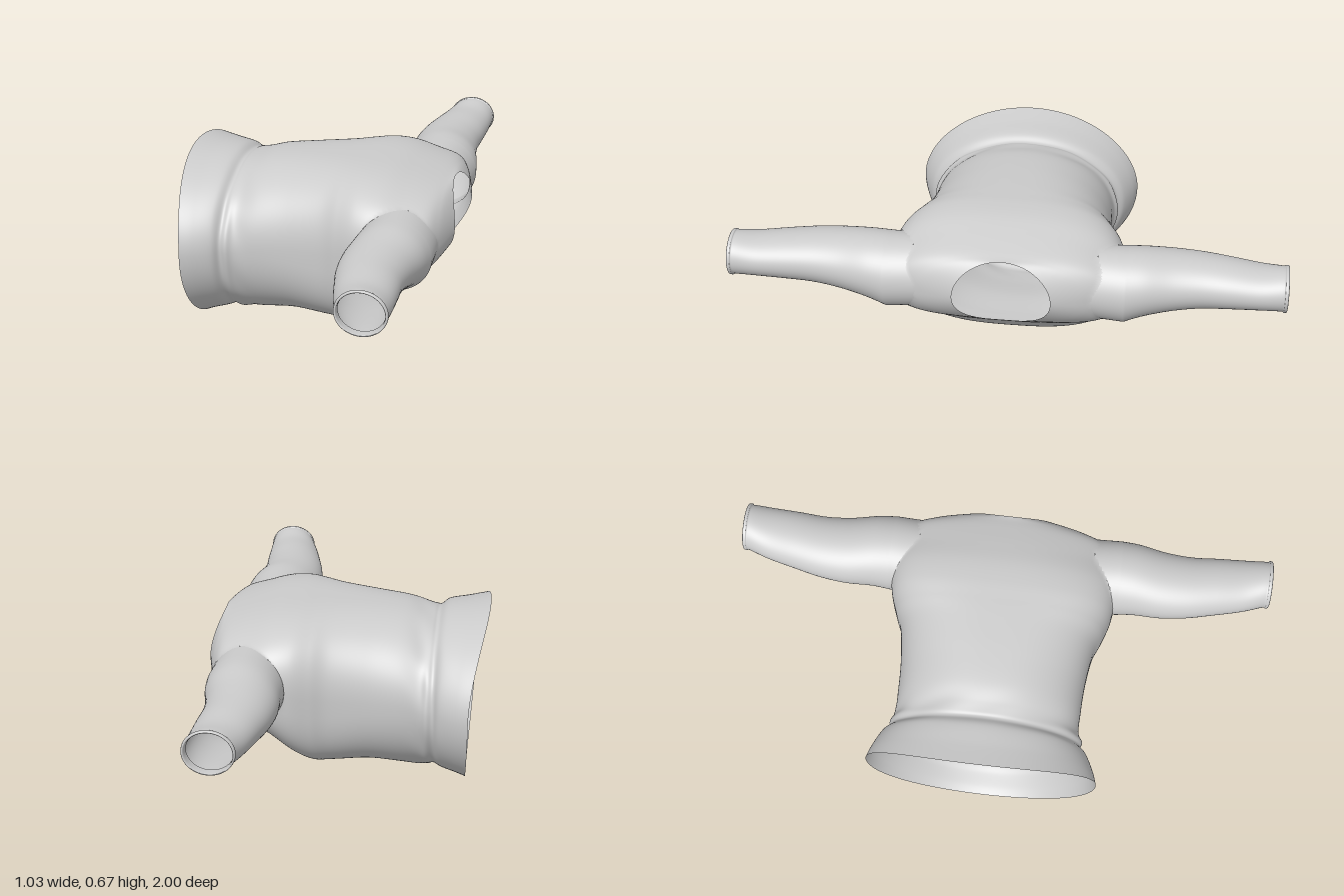
import * as THREE from 'three';

const material = new THREE.MeshStandardMaterial({ color: 0xcccccc, side: THREE.DoubleSide });
const AROUND = 128;

// Smoothly interpolates a list of number rows at t in 0..1
function sampleRows(rows, t) {
  const f = t * (rows.length - 1);
  const i = Math.min(Math.floor(f), rows.length - 2);
  const k = f - i;
  const at = (n) => rows[Math.max(0, Math.min(rows.length - 1, n))];
  return rows[i].map((b, c) => {
    const a = at(i - 1)[c], d = at(i + 1)[c], e = at(i + 2)[c];
    return b + 0.5 * k * (d - a + k * (2 * a - 5 * b + 4 * d - e + k * (3 * (b - d) + e - a)));
  });
}

// Joins closed rings of points into a surface, leaving out quads that skip() rejects
function loft(rings, flip, skip = () => false) {
  const n = rings[0].length;
  const index = [];
  for (let i = 0; i < rings.length - 1; i++) {
    for (let j = 0; j < n; j++) {
      const k = (j + 1) % n;
      if (skip([rings[i][j], rings[i][k], rings[i + 1][j], rings[i + 1][k]])) continue;
      const a = i * n + j, b = a + n, c = i * n + k, d = c + n;
      if (flip) index.push(a, c, b, c, d, b);
      else index.push(a, b, c, b, d, c);
    }
  }
  const geometry = new THREE.BufferGeometry().setFromPoints(rings.flat());
  geometry.setIndex(index);
  geometry.computeVertexNormals();
  return geometry;
}

// Torso rings from hem to neck:
// x at top, side, bottom; y top, bottom, widest; half width; squareness above, below
const torsoRows = [
  [-0.515, -0.455, -0.44, 0.667, 0, 0.36, 0.43, 2, 2],
  [-0.44, -0.41, -0.41, 0.652, 0.012, 0.36, 0.415, 2, 2],
  [-0.36, -0.35, -0.36, 0.64, 0.025, 0.36, 0.385, 2, 2],
  [-0.325, -0.325, -0.325, 0.62, 0.036, 0.36, 0.358, 2, 2],
  [-0.305, -0.3, -0.3, 0.623, 0.028, 0.36, 0.36, 2, 2],
  [-0.27, -0.27, -0.27, 0.63, 0.032, 0.36, 0.345, 2.1, 2.1],
  [-0.2, -0.2, -0.2, 0.648, 0.042, 0.37, 0.345, 2.2, 2.2],
  [-0.08, -0.08, -0.08, 0.66, 0.062, 0.37, 0.35, 2.4, 2.4],
  [0.05, 0.05, 0.05, 0.668, 0.066, 0.37, 0.368, 2.7, 2.7],
  [0.12, 0.12, 0.12, 0.671, 0.075, 0.38, 0.395, 2.9, 2.8],
  [0.19, 0.19, 0.19, 0.673, 0.12, 0.4, 0.42, 3, 2.8],
  [0.27, 0.27, 0.27, 0.667, 0.195, 0.43, 0.43, 2.8, 2.8],
  [0.35, 0.35, 0.35, 0.648, 0.26, 0.45, 0.425, 2.5, 3],
  [0.425, 0.435, 0.405, 0.626, 0.305, 0.47, 0.4, 2.3, 3],
  [0.462, 0.48, 0.428, 0.614, 0.322, 0.47, 0.31, 2.2, 2.6],
  [0.48, 0.515, 0.44, 0.61, 0.33, 0.47, 0.175, 2, 2],
];

function torsoRing(t) {
  const [xT, xS, xB, yT, yB, yM, w, nT, nB] = sampleRows(torsoRows, t);
  const ring = [];
  for (let j = 0; j < AROUND; j++) {
    const a = (j / AROUND) * Math.PI * 2;
    const s = Math.sin(a), c = Math.cos(a);
    const p = 2 / (s > 0 ? nT : nB);
    const x = xS + ((s > 0 ? xT : xB) - xS) * s * s;
    // Gathered cloth around the waist seam
    const gather = Math.exp(-(((x + 0.29) / 0.05) ** 2));
    const swell = 1 + 0.01 * gather * Math.sin(7 * a + 40 * x) * Math.cos(3 * a);
    const up = Math.abs(s) ** p * swell;
    ring.push(new THREE.Vector3(
      x,
      yM + up * (s > 0 ? yT - yM : yB - yM),
      Math.sign(c) * Math.abs(c) ** p * w * swell,
    ));
  }
  return ring;
}

// Armhole ellipse seen along z
const arm = { x: 0.342, y: 0.462, rx: 0.138, ry: 0.132 };
const armDistance = (p) => Math.hypot((p.x - arm.x) / arm.rx, (p.y - arm.y) / arm.ry);
const inArm = (p) => Math.abs(p.z) > 0.2 && armDistance(p) < 1;

// Sleeve rings: z, centre x, centre y, half size x, half size y
const sleeveRows = [
  [0.43, 0.343, 0.46, 0.141, 0.136],
  [0.5, 0.338, 0.474, 0.136, 0.121],
  [0.6, 0.325, 0.48, 0.128, 0.105],
  [0.7, 0.325, 0.486, 0.119, 0.093],
  [0.8, 0.338, 0.491, 0.111, 0.084],
  [0.9, 0.352, 0.494, 0.101, 0.076],
  [0.97, 0.364, 0.5, 0.09, 0.077],
  [0.985, 0.366, 0.501, 0.088, 0.077],
  [0.99, 0.367, 0.501, 0.091, 0.081],
  [1, 0.367, 0.501, 0.089, 0.08],
  [0.998, 0.367, 0.5, 0.082, 0.074],
  [0.97, 0.365, 0.498, 0.08, 0.071],
];

function sleeveRing([z, x, y, rx, ry], side) {
  return Array.from({ length: AROUND / 2 }, (_, j) => {
    const a = (j / AROUND) * Math.PI * 4;
    return new THREE.Vector3(x + rx * Math.cos(a), y + ry * Math.sin(a), z * side);
  });
}

export function createModel() {
  const group = new THREE.Group();
  const add = (name, geometry) => {
    const mesh = new THREE.Mesh(geometry, material);
    mesh.name = name;
    group.add(mesh);
  };

  const rings = Array.from({ length: 151 }, (_, i) => torsoRing(i / 150));
  const points = rings.flat();
  const whole = points.map((p) => p.clone());

  // Torso, open at hem and neck, with both armholes cut out
  const hidden = new Set(points.filter(inArm));
  for (const p of hidden) {
    const d = armDistance(p);
    if (d < 0.75) continue;
    p.x = arm.x + (p.x - arm.x) / d;
    p.y = arm.y + (p.y - arm.y) / d;
  }
  add('torso', loft(rings, false, (quad) => quad.every((p) => hidden.has(p))));

  // Sleeves, starting on the torso surface and ending in a turned cuff
  for (const side of [1, -1]) {
    const outline = sleeveRing([0, arm.x, arm.y, arm.rx, arm.ry], side);
    for (const p of outline) {
      let best = Infinity, z = 0;
      for (const q of whole) {
        const d = (q.x - p.x) ** 2 + (q.y - p.y) ** 2;
        if (q.z * side > 0.15 && d < best) {
          best = d;
          z = Math.abs(q.z);
        }
      }
      p.z = side * Math.min(z, 0.42);
    }
    // Even out the armhole edge
    const depth = outline.map((p) => p.z);
    outline.forEach((p, j) => {
      const n = depth.length;
      p.z = (depth[(j + n - 1) % n] + depth[j] + depth[(j + 1) % n]) / 3;
    });
    const sleeve = [outline];
    for (let i = 0; i <= 66; i++) sleeve.push(sleeveRing(sampleRows(sleeveRows, i / 66), side));
    add(side > 0 ? 'frontSleeve' : 'backSleeve', loft(sleeve, side > 0));
  }
  return group;
}
